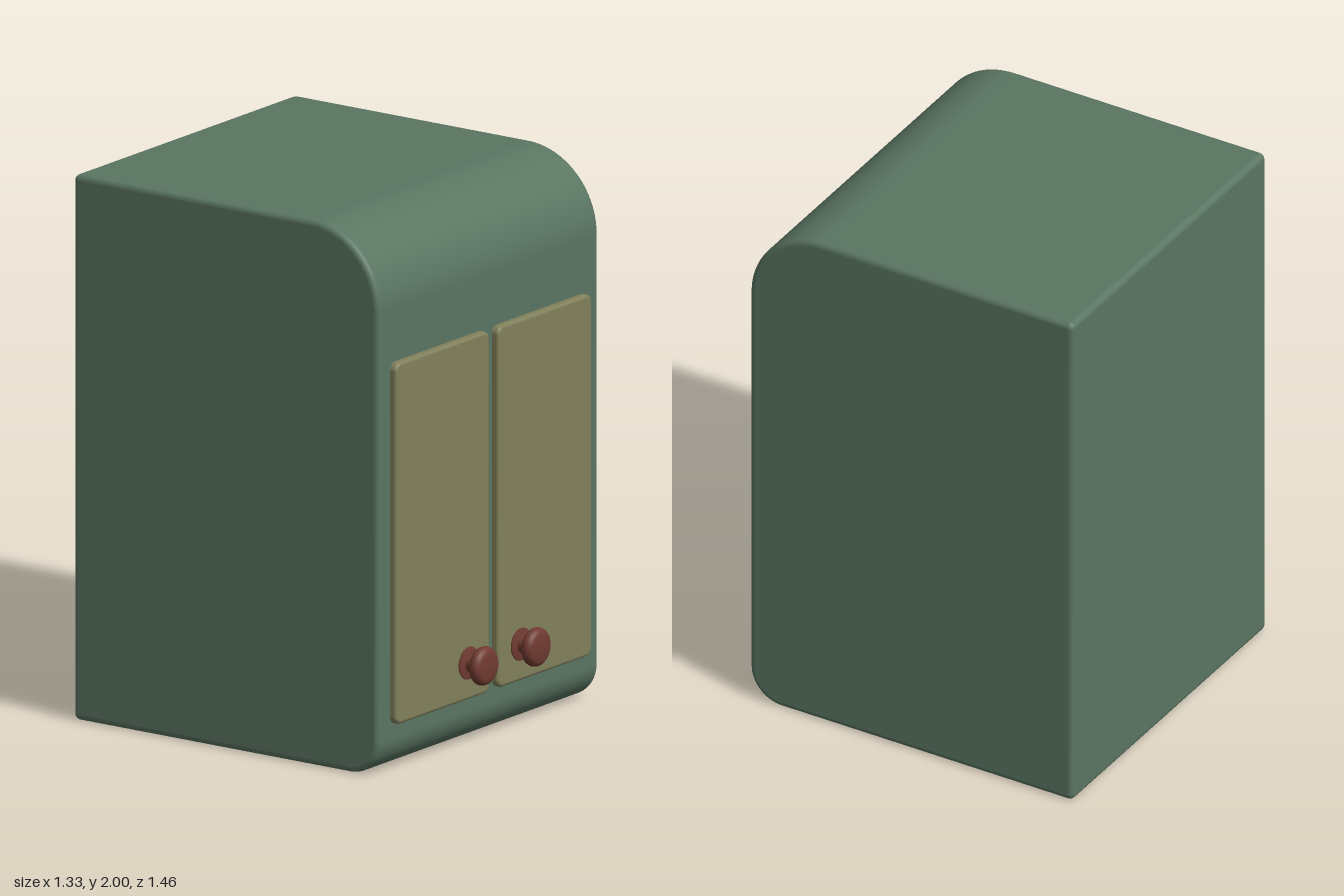
import * as THREE from 'three';
import { mergeVertices } from 'three/addons/utils/BufferGeometryUtils.js';

const green = new THREE.MeshStandardMaterial({ color: 0x5a7562 });
const olive = new THREE.MeshStandardMaterial({ color: 0x81805b });
const red = new THREE.MeshStandardMaterial({ color: 0x703b31 });

// Rectangle with a separate radius for each corner: bottom-left, bottom-right, top-right, top-left
function roundedRect(x0, y0, x1, y1, [bl, br, tr, tl]) {
  const s = new THREE.Shape();
  const q = Math.PI / 2;
  s.absarc(x0 + bl, y0 + bl, bl, 2 * q, 3 * q);
  s.absarc(x1 - br, y0 + br, br, 3 * q, 4 * q);
  s.absarc(x1 - tr, y1 - tr, tr, 0, q);
  s.absarc(x0 + tl, y1 - tl, tl, q, 2 * q);
  return s;
}

// Slab centred on z = 0 with softly rounded edges and smooth, area-weighted normals
function softSlab(shape, depth, bevel, curveSegments) {
  const geo = new THREE.ExtrudeGeometry(shape, {
    depth: depth - 2 * bevel, curveSegments, bevelEnabled: true,
    bevelSize: bevel, bevelThickness: bevel, bevelOffset: -bevel, bevelSegments: 4,
  });
  geo.translate(0, 0, bevel - depth / 2);
  geo.deleteAttribute('normal');
  geo.deleteAttribute('uv');
  const smooth = mergeVertices(geo, 1e-5);
  smooth.computeVertexNormals();
  return smooth;
}

function addMesh(parent, name, geo, material) {
  const mesh = new THREE.Mesh(geo, material);
  mesh.name = name;
  parent.add(mesh);
  return mesh;
}

// Turned knob: base plate, stem and rounded head, pointing along +z
function knobGeometry() {
  const pts = [[0, 0], [0.058, 0], [0.06, 0.003], [0.058, 0.008], [0.031, 0.009], [0.03, 0.012],
    [0.03, 0.036], [0.032, 0.04], [0.05, 0.043]].map(([x, y]) => new THREE.Vector2(x, y));
  for (let i = 0; i <= 10; i++) {
    const a = -Math.PI / 2 + (Math.PI * i) / 10;
    pts.push(new THREE.Vector2(0.046 + 0.025 * Math.cos(a), 0.068 + 0.025 * Math.sin(a)));
  }
  pts.push(new THREE.Vector2(0.025, 0.096), new THREE.Vector2(0, 0.097));
  return new THREE.LatheGeometry(pts, 32).rotateX(Math.PI / 2);
}

export function createModel() {
  const model = new THREE.Group();
  model.name = 'cabinet';

  // Body: side profile swept across the width, with large front curves
  const profile = roundedRect(-0.605, 0, 0.73, 2, [0.13, 0.024, 0.024, 0.3]);
  addMesh(model, 'body', softSlab(profile, 1.328, 0.02, 16).rotateY(Math.PI / 2), green);

  // Pair of doors, each with a knob near its lower inner corner
  const panel = softSlab(roundedRect(-0.282, -0.663, 0.282, 0.663, [0.03, 0.03, 0.03, 0.03]), 0.06, 0.012, 6);
  const knob = knobGeometry();
  for (const [side, name] of [[1, 'left'], [-1, 'right']]) {
    const door = new THREE.Group();
    door.name = name + 'Door';
    door.position.set(-0.004 + side * 0.307, 0.843, 0.603);
    addMesh(door, name + 'Panel', panel, olive);
    addMesh(door, name + 'Knob', knob, red).position.set(-side * 0.15, -0.527, 0.03);
    model.add(door);
  }
  return model;
}
